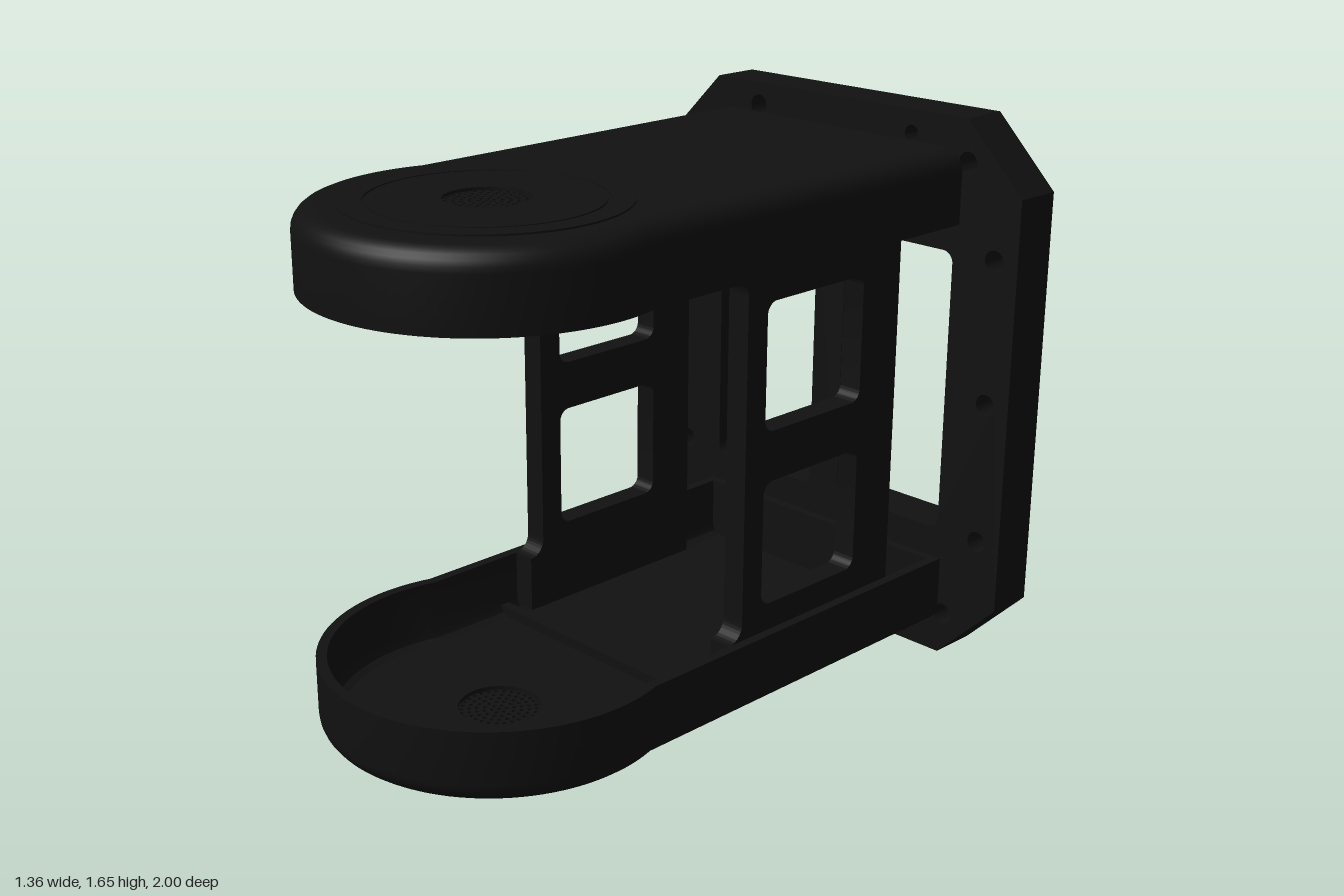
import * as THREE from 'three';
import { toCreasedNormals } from 'three/addons/utils/BufferGeometryUtils.js';

const MAT = new THREE.MeshStandardMaterial({ color: 0x111111, side: THREE.DoubleSide });
const ARM_H = 0.215, WALL = 0.03, HUB_Z = 0.5;

function addMesh(parent, name, geometry) {
  const m = new THREE.Mesh(geometry, MAT);
  m.name = name;
  parent.add(m);
  return m;
}

function circlePath(x, y, r) {
  return new THREE.Path().absarc(x, y, r, 0, Math.PI * 2, true);
}

function roundedRect(x0, y0, x1, y1, r) {
  const p = new THREE.Path();
  p.moveTo(x0 + r, y0);
  p.absarc(x1 - r, y0 + r, r, -Math.PI / 2, 0, false);
  p.absarc(x1 - r, y1 - r, r, 0, Math.PI / 2, false);
  p.absarc(x0 + r, y1 - r, r, Math.PI / 2, Math.PI, false);
  p.absarc(x0 + r, y0 + r, r, Math.PI, Math.PI * 1.5, false);
  p.closePath();
  return p;
}

const extrude = (shape, depth, curveSegments = 12) =>
  new THREE.ExtrudeGeometry(shape, { depth, bevelEnabled: false, curveSegments });

// Plan of the arm: straight sides running into a round head, as [x, z] points
function armOutline(inset, backInset) {
  const R = 0.495 - inset, w = 0.475 - inset, back = -0.845 + backInset, N = 64;
  const A = Math.PI - Math.asin(w / R);
  const pts = [[-w, back]];
  for (let i = 0; i <= N; i++) {
    const t = -A + (2 * A * i) / N;
    pts.push([R * Math.sin(t), HUB_Z + R * Math.cos(t)]);
  }
  pts.push([w, back]);
  return pts;
}

// Wall of the arm: inner floor edge, rim, outer side, rounded outer edge
function armWall() {
  const rows = [[0.06, 0.185, WALL], [0.039, 0.176, WALL], [WALL, 0.155, WALL], [WALL, 0, WALL], [0, 0, 0]];
  for (let i = 0; i <= 6; i++) {
    const a = (i / 6) * Math.PI / 2;
    rows.push([0.06 * (1 - Math.cos(a)), 0.155 + 0.06 * Math.sin(a), 0]);
  }
  const pos = [], idx = [];
  let n = 0;
  for (const [inset, y, back] of rows) {
    const loop = armOutline(inset, back);
    n = loop.length;
    loop.forEach(([x, z]) => pos.push(x, y, z));
  }
  for (let j = 0; j < rows.length - 1; j++) {
    for (let i = 0; i < n; i++) {
      const a = j * n + i, b = j * n + (i + 1) % n;
      idx.push(a, b, a + n, b, b + n, a + n);
    }
  }
  const g = new THREE.BufferGeometry();
  g.setAttribute('position', new THREE.Float32BufferAttribute(pos, 3));
  g.setIndex(idx);
  return toCreasedNormals(g, 0.6);
}

// Flat face of the arm with a round opening at the hub; s = 1 faces up, -1 down
function armFace(inset, backInset, y, holeR, s) {
  const shape = new THREE.Shape(armOutline(inset, backInset).map(([x, z]) => new THREE.Vector2(x, -s * z)));
  shape.holes.push(circlePath(0, -s * HUB_Z, holeR));
  return new THREE.ShapeGeometry(shape, 32).rotateX(-s * Math.PI / 2).translate(0, y, 0);
}

function grilleGeometry() {
  const shape = new THREE.Shape().absarc(0, 0, 0.118, 0, Math.PI * 2, false);
  shape.holes.push(circlePath(0, 0, 0.007));
  for (let ring = 1; ring <= 5; ring++) {
    for (let k = 0; k < ring * 6; k++) {
      const a = (k / (ring * 6)) * Math.PI * 2;
      shape.holes.push(circlePath(ring * 0.021 * Math.cos(a), ring * 0.021 * Math.sin(a), 0.007));
    }
  }
  return extrude(shape, 0.015, 5).rotateX(-Math.PI / 2);
}

// Hollow arm, open at y = 0, closed face at y = ARM_H
function makeArm(name) {
  const arm = new THREE.Group();
  arm.name = name;
  addMesh(arm, 'armWall', armWall());
  addMesh(arm, 'armOuterFace', armFace(0.06, 0, ARM_H, 0.37, 1));
  addMesh(arm, 'armInnerFace', armFace(0.06, WALL, ARM_H - WALL, 0.115, -1));

  // Slightly raised hub with a fine ring groove
  const profile = [
    [0.38, -0.002], [0.38, 0.005], [0.316, 0.005], [0.316, 0], [0.308, 0],
    [0.308, 0.005], [0.115, 0.005], [0.115, -WALL],
  ].map(([r, y]) => new THREE.Vector2(r, y));
  const hub = addMesh(arm, 'hubDisc', toCreasedNormals(new THREE.LatheGeometry(profile, 64), 0.6));
  hub.position.set(0, ARM_H, HUB_Z);

  addMesh(arm, 'grille', grilleGeometry()).position.set(0, ARM_H - 0.018, HUB_Z);
  addMesh(arm, 'innerRib', new THREE.BoxGeometry(0.89, 0.03, 0.03)).position.set(0, ARM_H - WALL - 0.015, 0.1);
  return arm;
}

// Octagonal back plate with two windows and bolt holes
function plateGeometry() {
  const w = 0.68, h = 1.65, c = 0.2;
  const shape = new THREE.Shape([
    [-w + c, 0], [w - c, 0], [w, c], [w, h - c], [w - c, h], [-w + c, h], [-w, h - c], [-w, c],
  ].map(([x, y]) => new THREE.Vector2(x, y)));
  shape.holes.push(roundedRect(-0.455, 0.4, -0.058, 1.26, 0.035), roundedRect(0.055, 0.4, 0.455, 1.26, 0.035));
  const bolts = [
    [-0.31, 1.58], [0.49, 1.525], [-0.36, 1.325], [-0.6, 1.24], [0.6, 1.26], [0.6, 0.83],
    [-0.6, 0.415], [0.6, 0.4], [-0.36, 0.325], [0.49, 0.13], [-0.31, 0.07],
  ];
  const smallBolts = [
    [0.285, 1.58], [-0.145, 0.07], [0, 0.24], [-0.13, 0.2], [0.13, 0.2], [0, 1.41], [-0.13, 1.45], [0.13, 1.45],
  ];
  bolts.forEach(([x, y]) => shape.holes.push(circlePath(x, y, 0.032)));
  smallBolts.forEach(([x, y]) => shape.holes.push(circlePath(x, y, 0.024)));
  return toCreasedNormals(extrude(shape, 0.15), 0.6);
}

// Side panel drawn in (z, y), with two windows and filleted front corners
function panelGeometry() {
  const y0 = 0.31, y1 = 1.345, f = 0.05, d = 0.17;
  const s = new THREE.Shape();
  s.moveTo(-0.62, y0 - d);
  s.lineTo(f, y0 - d);
  s.lineTo(f, y0);
  s.absarc(f, y0 + f, f, Math.PI * 1.5, Math.PI, true);
  s.lineTo(0, y1 - f);
  s.absarc(f, y1 - f, f, Math.PI, Math.PI / 2, true);
  s.lineTo(f, y1 + d);
  s.lineTo(-0.62, y1 + d);
  s.closePath();
  for (const [a, b] of [[0.39, 0.755], [0.9, 1.265]]) s.holes.push(roundedRect(-0.465, a, -0.075, b, 0.035));
  // The extrusion axis becomes -x, the drawn x axis becomes z
  return toCreasedNormals(extrude(s, 0.07).rotateY(-Math.PI / 2), 0.6);
}

export function createModel() {
  const model = new THREE.Group();
  model.name = 'bracket';

  addMesh(model, 'backPlate', plateGeometry()).position.z = -1;

  const upper = makeArm('upperArm');
  upper.position.y = 1.345;
  const lower = makeArm('lowerArm');
  lower.position.y = 0.31;
  lower.rotation.z = Math.PI;
  model.add(upper, lower);

  const panel = panelGeometry();
  addMesh(model, 'leftSidePanel', panel).position.x = 0.447;
  addMesh(model, 'rightSidePanel', panel).position.x = -0.377;
  return model;
}
